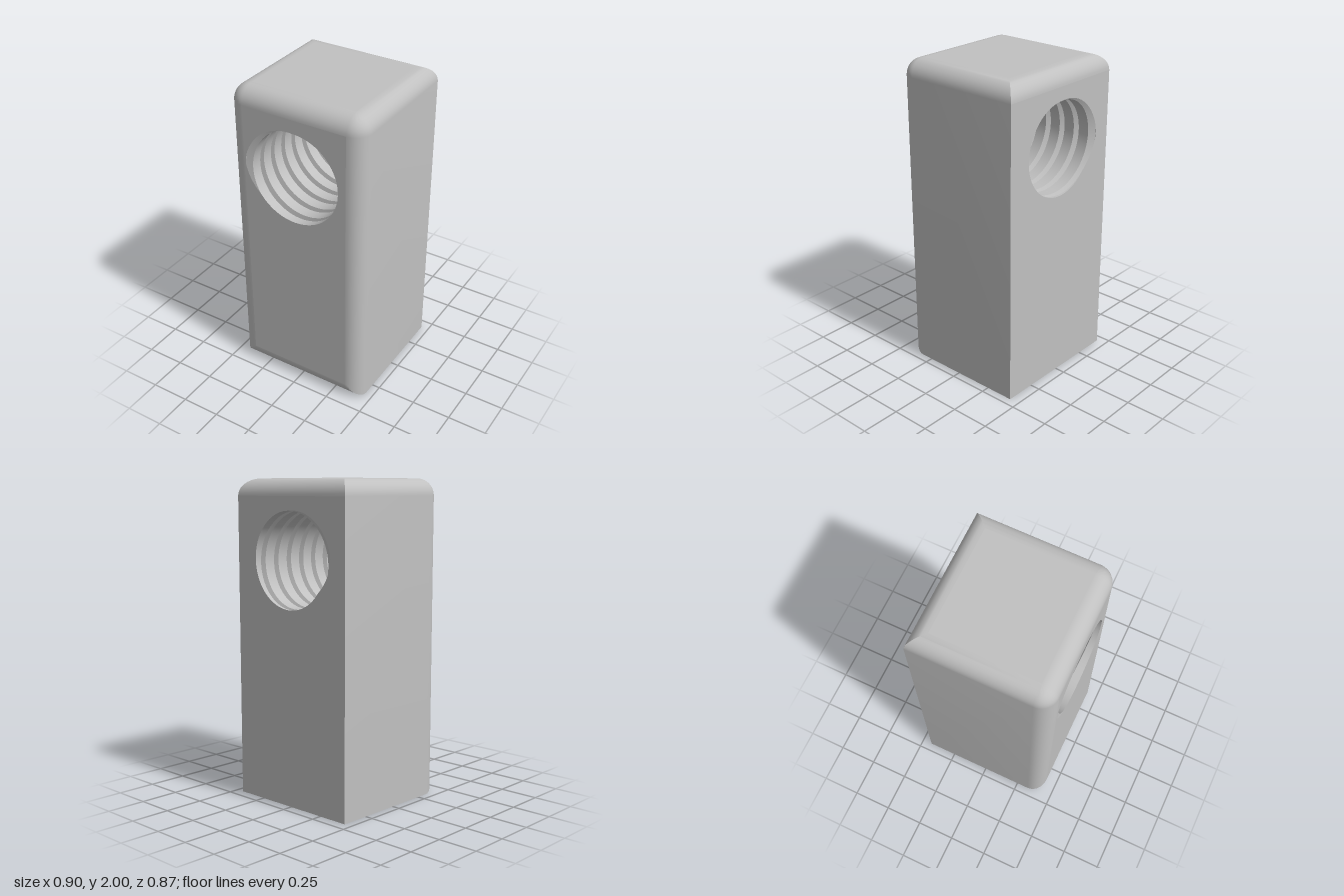
import * as THREE from 'three';
import { toCreasedNormals } from 'three/addons/utils/BufferGeometryUtils.js';

const HX = 0.45, HZ = 0.435, H = 2, R = 0.105, N = 10;     // block half sizes, height, fillet radius
const BORE_Y = 1.515, MINOR = 0.295, MAJOR = 0.338;        // threaded bore
const TURNS = 8, PITCH = (2 * HZ) / TURNS, SIDES = 72;
const POCKET_X = 0.22, POCKET_Z = 0.28, POCKET_H = 0.9;    // rectangular socket in the base

// Skin a list of rows of points; skip leaves openings, mirrorFrom turns the diagonals
function skin(rows, { flip = false, skip = () => false, mirrorFrom = Infinity } = {}) {
  const pos = [];
  const tri = (a, b, c) => (flip ? [a, c, b] : [a, b, c]).forEach(p => pos.push(...p));
  for (let j = 0; j < rows.length - 1; j++) {
    for (let i = 0; i < rows[j].length - 1; i++) {
      if (skip(j, i)) continue;
      const a = rows[j][i], b = rows[j][i + 1], c = rows[j + 1][i + 1], d = rows[j + 1][i];
      if (i < mirrorFrom) { tri(a, d, c); tri(a, c, b); }
      else { tri(a, d, b); tri(d, c, b); }
    }
  }
  const g = new THREE.BufferGeometry();
  g.setAttribute('position', new THREE.Float32BufferAttribute(pos, 3));
  return toCreasedNormals(g, 0.5);
}

// Horizontal section: square back corners, round front corners, front cut at zMax
function section(y, inset, zMax) {
  const half = [[HX - inset, -HZ + inset]];
  for (let i = 0; i <= N; i++) {
    const t = (i / N) * Math.PI / 2;
    half.push([HX - R + (R - inset) * Math.cos(t), Math.min(zMax, HZ - R + (R - inset) * Math.sin(t))]);
  }
  const loop = [...half, ...half.slice().reverse().map(([x, z]) => [-x, z]), half[0]];
  return loop.map(([x, z]) => [x, y, z]);
}

function shellGeometry() {
  const rows = [];
  for (let j = 0; j <= N; j++) {            // rounded lower front edge
    const t = (1 - j / N) * Math.PI / 2;
    rows.push(section(R - R * Math.sin(t), 0, HZ - R + R * Math.cos(t)));
  }
  for (let j = 0; j <= N; j++) {            // rounded top edges
    const t = (j / N) * Math.PI / 2;
    rows.push(section(H - R + R * Math.sin(t), R * (1 - Math.cos(t)), HZ));
  }
  const skip = (j, i) => j === N && (i === N + 1 || i === 2 * N + 3);
  return skin(rows, { skip, mirrorFrom: N + 2 });
}

// Thread radius from angle and depth
function threadRadius(angle, z) {
  const p = angle / (2 * Math.PI) - (z - HZ) / PITCH;
  const f = p - Math.floor(p);
  let depth = 0;
  if (f > 0.25 && f < 0.47) depth = (f - 0.25) / 0.22;
  else if (f >= 0.47 && f <= 0.5) depth = 1;
  else if (f > 0.5 && f < 0.6) depth = (0.6 - f) / 0.1;
  return MINOR + (MAJOR - MINOR) * depth;
}

function threadPoint(i, z) {
  const a = (i / SIDES) * 2 * Math.PI, r = threadRadius(a, z);
  return [r * Math.cos(a), BORE_Y + r * Math.sin(a), z];
}

// Rows follow the helix so the ridges stay crisp
function threadGeometry() {
  const rows = [];
  for (let k = 0; k <= TURNS + 1; k++) {
    for (const knot of [0, 0.25, 0.47, 0.5, 0.6]) {
      const row = [];
      for (let i = 0; i <= SIDES; i++) {
        const z = HZ + PITCH * (i / SIDES - k - knot);
        row.push(threadPoint(i, Math.max(-HZ, Math.min(HZ, z))));
      }
      rows.push(row);
    }
  }
  return skin(rows, { flip: true });
}

function rectPoints(x, y0, y1) {
  return [[-x, y0], [x, y0], [x, y1], [-x, y1]].map(p => new THREE.Vector2(...p));
}

function plate(outline, hole) {
  const shape = new THREE.Shape(outline);
  if (hole) shape.holes.push(new THREE.Path(hole));
  return new THREE.ShapeGeometry(shape);
}

// Flat wall pierced by the bore, side = 1 front, -1 back
function boredWall(halfWidth, side) {
  const hole = [];
  for (let i = 0; i < SIDES; i++) {
    const [x, y] = threadPoint(i, side * HZ);
    hole.push(new THREE.Vector2(side * x, y));
  }
  const g = plate(rectPoints(halfWidth, R, H - R), hole).translate(0, 0, HZ);
  return side < 0 ? g.rotateY(Math.PI) : g;
}

function pocketGeometry() {
  const corners = [[1, -1], [1, 1], [-1, 1], [-1, -1], [1, -1]];
  const ring = (y, s) => corners.map(([x, z]) => [x * POCKET_X * s, y, z * POCKET_Z * s]);
  return skin([ring(0, 1), ring(POCKET_H, 1), ring(POCKET_H, 0)], { flip: true });
}

export function createModel() {
  const model = new THREE.Group();
  model.name = 'threadedBlock';
  const grey = new THREE.MeshStandardMaterial({ color: 0xc0c0c0 });
  grey.name = 'plain grey';
  const add = (name, geometry) => {
    const mesh = new THREE.Mesh(geometry, grey);
    mesh.name = name;
    model.add(mesh);
  };

  add('roundedShell', shellGeometry());
  add('frontWall', boredWall(HX - R, 1));
  add('backWall', boredWall(HX, -1));
  add('topFace', plate(rectPoints(HX - R, -HZ + R, HZ - R)).rotateX(-Math.PI / 2).translate(0, H, 0));
  add('baseFace', plate(rectPoints(HX, -HZ, HZ - R), rectPoints(POCKET_X, -POCKET_Z, POCKET_Z)).rotateX(Math.PI / 2));
  add('basePocket', pocketGeometry());
  add('boreThread', threadGeometry());
  return model;
}
